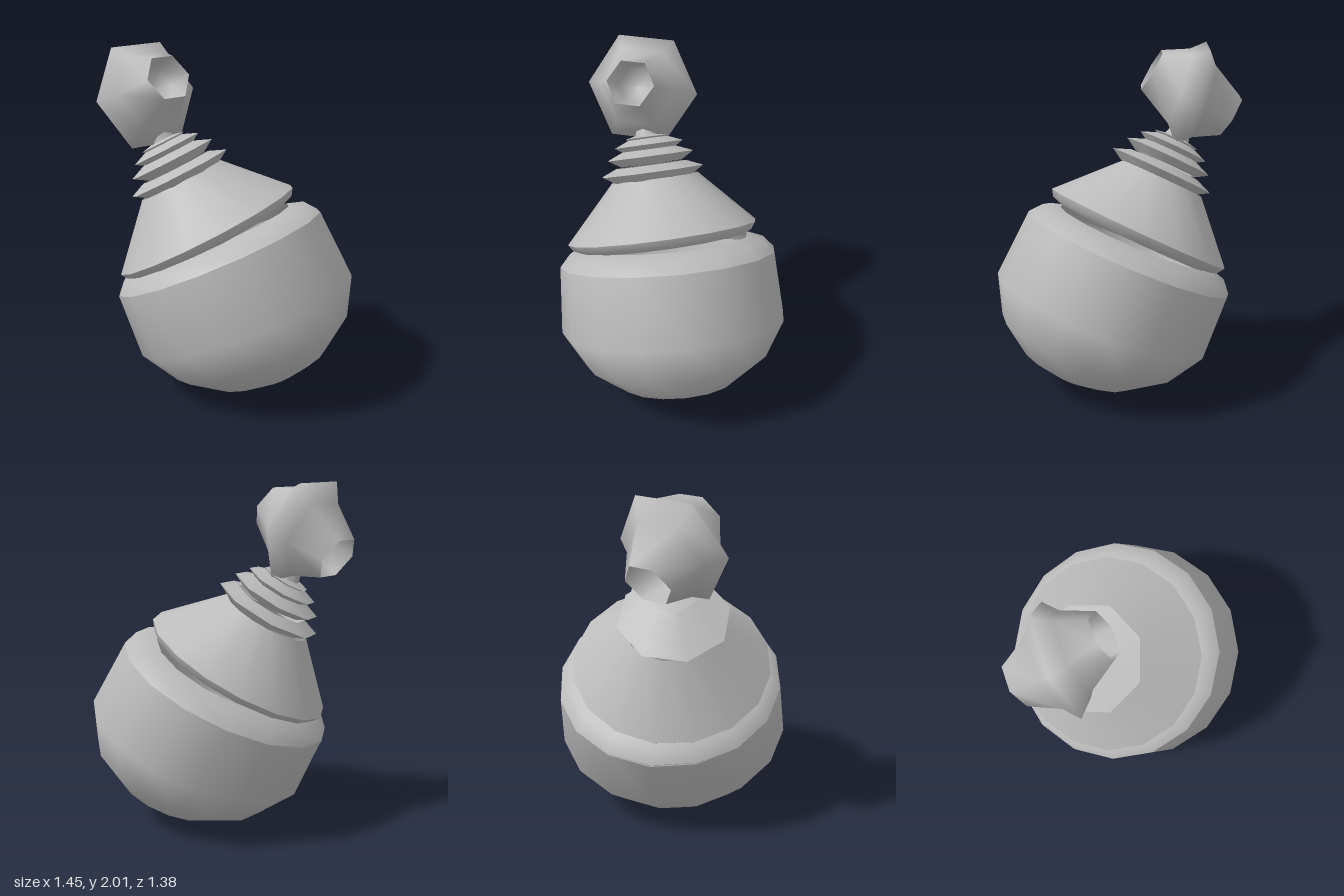
import * as THREE from 'three';
import { mergeVertices } from 'three/addons/utils/BufferGeometryUtils.js';

const clay = new THREE.MeshStandardMaterial({ color: 0xbcbcbc, side: THREE.DoubleSide });
clay.name = 'grey clay';

const up = new THREE.Vector3(0, 1, 0);
const tilt = (x, y, z) => new THREE.Quaternion().setFromUnitVectors(up, new THREE.Vector3(x, y, z).normalize());

// The bowl leans a little less than the lid that sits on it
const bowlLean = tilt(-0.39, 0.9, 0.19);
const lidLean = tilt(-0.42, 0.87, 0.25);
const rimCentre = new THREE.Vector3(-0.06, 0.81, 0.06);

// Turned surface from [radius, height] pairs, listed from bottom to top
function turned(name, profile, sides) {
  const geo = new THREE.LatheGeometry(profile.map(([r, h]) => new THREE.Vector2(r, h)), sides);
  const mesh = new THREE.Mesh(geo, clay);
  mesh.name = name;
  return mesh;
}

function leaningGroup(name, lean, x, y, z) {
  const group = new THREE.Group();
  group.name = name;
  group.position.set(x, y, z);
  group.quaternion.copy(lean);
  return group;
}

// Round bowl, slightly flattened towards the ground
function makeBowl() {
  const drop = 0.22;
  const rings = [[180, 0.68], [168, 0.685], [150, 0.69], [128, 0.7], [106, 0.705], [71.3, 0.686]];
  const profile = rings.map(([deg, radius]) => {
    const a = THREE.MathUtils.degToRad(deg);
    return new THREE.Vector2(Math.max(0, radius * Math.sin(a)), radius * Math.cos(a));
  });
  let geo = new THREE.LatheGeometry(profile, 16);
  geo.applyQuaternion(bowlLean);
  const pos = geo.attributes.position;
  for (let i = 0; i < pos.count; i++) {
    if (pos.getY(i) < 0) pos.setY(i, pos.getY(i) * 0.89);
  }
  geo.deleteAttribute('uv');
  geo.deleteAttribute('normal');
  geo = mergeVertices(geo, 1e-4);
  geo.computeVertexNormals();
  const mesh = new THREE.Mesh(geo, clay);
  mesh.name = 'bowl';
  mesh.position.copy(up).applyQuaternion(bowlLean).multiplyScalar(-drop).add(rimCentre);
  return mesh;
}

// Six-sided skin through rings of [position along x, shear, radius]
function hexLoft(name, rings) {
  const points = [], index = [];
  rings.forEach(([s, shear, r], j) => {
    for (let k = 0; k < 6; k++) {
      const a = (k * Math.PI) / 3;
      const y = r * Math.sin(a);
      points.push(s + shear * y, y, r * Math.cos(a));
      if (j === rings.length - 1) continue;
      const p = j * 6 + k, q = j * 6 + ((k + 1) % 6);
      index.push(p, p + 6, q, q, p + 6, q + 6);
    }
  });
  const geo = new THREE.BufferGeometry();
  geo.setAttribute('position', new THREE.Float32BufferAttribute(points, 3));
  geo.setIndex(index);
  geo.computeVertexNormals();
  const mesh = new THREE.Mesh(geo, clay);
  mesh.name = name;
  return mesh;
}

export function createModel() {
  const model = new THREE.Group();
  model.name = 'leaningPot';
  model.add(makeBowl());

  // Sloping ledge inside the bowl's rim
  const ledge = leaningGroup('ledge', bowlLean, rimCentre.x, rimCentre.y, rimCentre.z);
  ledge.add(turned('bowlLedge', [[0.65, 0], [0.59, 0.07], [0.49, 0.1]], 16));
  model.add(ledge);

  // Conical lid
  const lid = leaningGroup('lid', lidLean, -0.05, 0.805, 0.07);
  lid.add(
    turned('lidUnderside', [[0.49, 0.1], [0.545, 0.12], [0.572, 0.16]], 16),
    turned('lidCone', [[0.572, 0.16], [0.26, 0.49]], 16),
  );
  model.add(lid);

  // Stacked flared collars and the neck
  const collars = leaningGroup('collars', lidLean, -0.03, 0.814, 0.078);
  const tips = [[0.32, 0.53], [0.27, 0.622], [0.215, 0.69], [0.14, 0.735]];
  tips.forEach(([r, h], i) => {
    const inner = r - 0.1, rise = i < 3 ? 0.04 : 0.02;
    collars.add(
      turned('collarFlare' + (i + 1), [[r - 0.075, h - 0.045], [r, h]], 8),
      turned('collarTop' + (i + 1), [[r, h], [inner, h + rise]], 8),
    );
  });
  collars.add(turned('neck', [[0.09, 0.7], [0.06, 0.8], [0.08, 0.95]], 8));
  model.add(collars);

  // Hexagonal knob lying across the neck, hollowed at both ends
  const knob = new THREE.Group();
  knob.name = 'knob';
  knob.position.set(-0.425, 1.729, 0.313);
  knob.rotation.z = Math.PI / 6;
  knob.add(hexLoft('knobShell', [
    [-0.273, 0, 0.14], [-0.083, 0.2, 0.24], [0, 0.19, 0.332], [0.083, 0.2, 0.24], [0.273, 0, 0.14],
  ]));
  knob.add(hexLoft('rightHollow', [[0.273, 0, 0.14], [0.1, 0, 0.12], [0.09, 0, 0]]));
  knob.add(hexLoft('leftHollow', [[-0.09, 0, 0], [-0.1, 0, 0.12], [-0.273, 0, 0.14]]));
  model.add(knob);

  return model;
}
